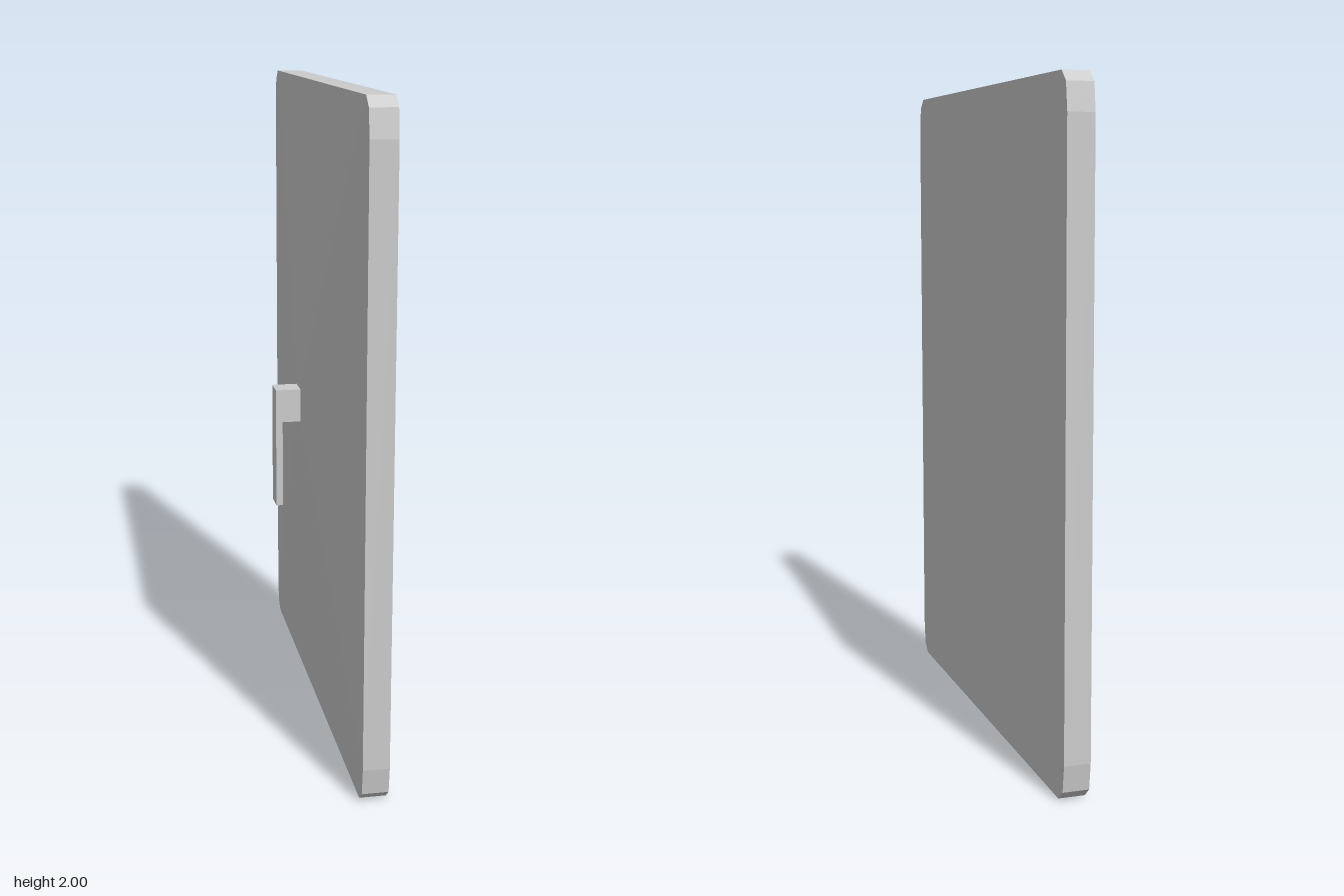
import * as THREE from 'three';

const material = new THREE.MeshStandardMaterial({ color: 0xcccccc, flatShading: true });

// Quarter-corner profile of the panel, measured from its centre, counter-clockwise.
const corner = [[0.755, 0.89], [0.744, 0.97], [0.71, 1]];
const boss = { w: 0.037, h: 0.052 };

// Panel outline, with the matching corner of the small central boss for each point.
function makeRings() {
  const outer = [], inner = [];
  for (const [sx, sy] of [[1, 1], [-1, 1], [-1, -1], [1, -1]]) {
    const points = sx * sy > 0 ? corner : [...corner].reverse();
    for (const [u, v] of points) {
      outer.push(new THREE.Vector3(sx * u, 1 + sy * v, 0.026));
      inner.push(new THREE.Vector3(sx * boss.w, 1.002 + sy * boss.h, -0.027));
    }
  }
  return { outer, inner };
}

// Shallow pyramid rising from the panel outline to the boss.
function makeBackGeometry(outer, inner) {
  const points = [];
  outer.forEach((a, i) => {
    const j = (i + 1) % outer.length;
    points.push(a, inner[i], outer[j]);
    if (!inner[i].equals(inner[j])) points.push(outer[j], inner[i], inner[j]);
  });
  const geometry = new THREE.BufferGeometry().setFromPoints(points);
  geometry.computeVertexNormals();
  return geometry;
}

function addMesh(parent, name, geometry) {
  const mesh = new THREE.Mesh(geometry, material);
  mesh.name = name;
  parent.add(mesh);
  return mesh;
}

// Box given by its limits in x and y, centred on z.
function addBlock(parent, name, x0, x1, y0, y1) {
  const mesh = addMesh(parent, name, new THREE.BoxGeometry(x1 - x0, y1 - y0, boss.w * 2));
  mesh.position.set((x0 + x1) / 2, (y0 + y1) / 2, 0);
}

export function createModel() {
  const model = new THREE.Group();
  model.name = 'panelWithHandle';

  // Panel and its raised back, drawn facing z and turned to face x.
  const board = new THREE.Group();
  board.name = 'board';
  board.rotation.y = Math.PI / 2;
  const { outer, inner } = makeRings();
  const shape = new THREE.Shape(outer.map((p) => new THREE.Vector2(p.x, p.y)));
  const slab = new THREE.ExtrudeGeometry(shape, { depth: 0.079, bevelEnabled: false });
  slab.translate(0, 0, 0.026);
  addMesh(board, 'panel', slab);
  addMesh(board, 'raisedBack', makeBackGeometry(outer, inner));
  model.add(board);

  // Handle: a block standing out from the back and a thin lever hanging from it.
  addBlock(model, 'handleMount', -0.105, -0.027, 0.95, 1.054);
  addBlock(model, 'handleLever', -0.105, -0.084, 0.675, 0.95);

  return model;
}
